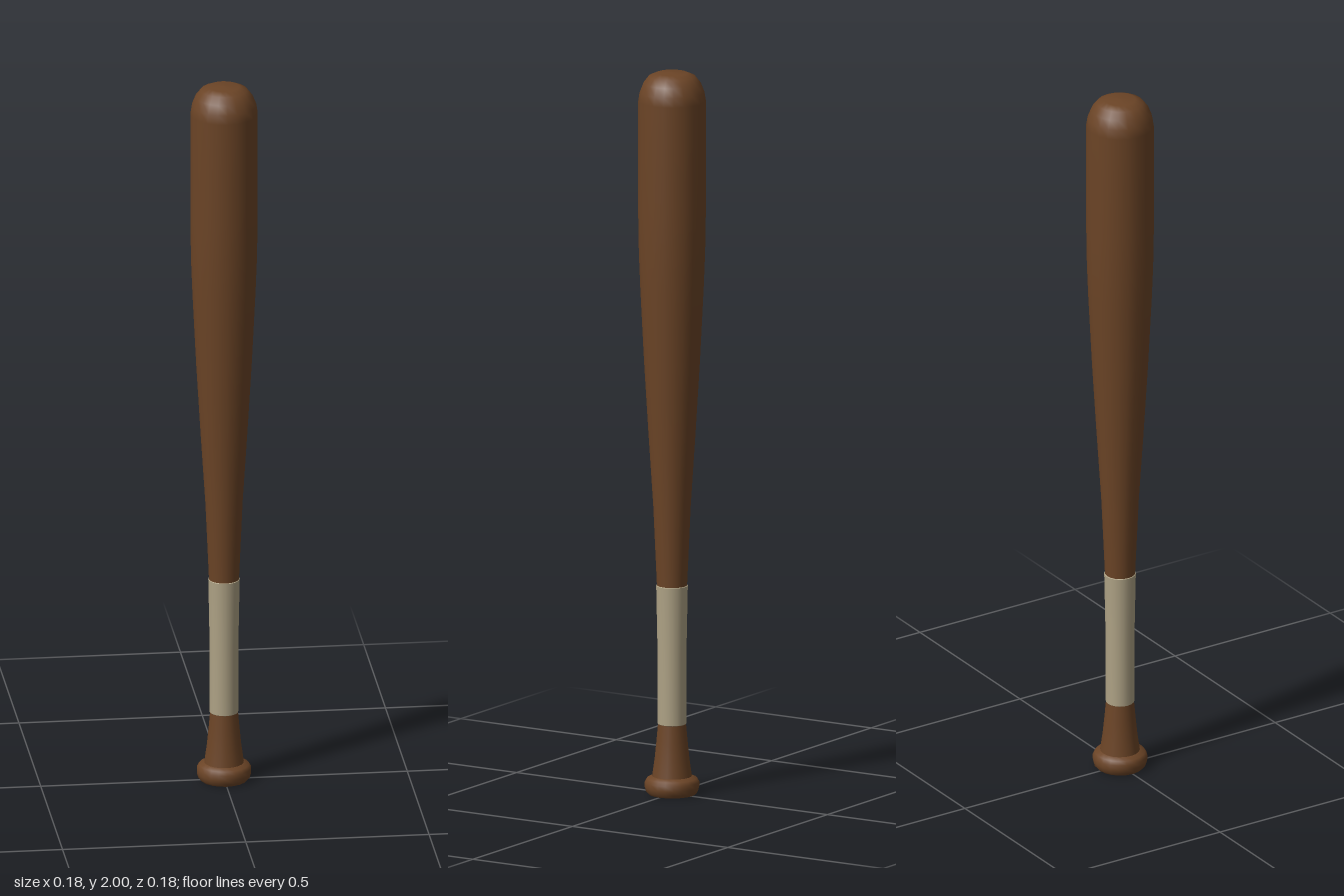
import * as THREE from 'three';

const SIDES = 20;

export function createModel() {
  const group = new THREE.Group();
  const wood = new THREE.MeshStandardMaterial({ color: 0x6b4426 });
  wood.name = 'brown wood';
  const tape = new THREE.MeshStandardMaterial({ color: 0xaea285 });
  tape.name = 'beige grip tape';

  // Turned part from [radius, height] pairs, bottom to top
  function turned(name, material, profile) {
    const points = profile.map(([r, y]) => new THREE.Vector2(r, y));
    const mesh = new THREE.Mesh(new THREE.LatheGeometry(points, SIDES), material);
    mesh.name = name;
    group.add(mesh);
  }

  // Flat underside of the knob
  turned('knobBase', wood, [[0, 0], [0.064, 0]]);

  // Rounded knob rim
  turned('knob', wood, [
    [0.064, 0], [0.071, 0.008], [0.074, 0.02], [0.074, 0.034], [0.068, 0.044], [0.054, 0.05],
  ]);

  // Flared handle above the knob
  turned('handle', wood, [[0.054, 0.05], [0.047, 0.1], [0.042, 0.15], [0.038, 0.195]]);

  // Wrapped grip, slightly proud of the wood
  turned('grip', tape, [[0.037, 0.193], [0.039, 0.195]]);
  turned('gripWrap', tape, [[0.039, 0.195], [0.039, 0.38], [0.043, 0.577]]);
  turned('gripTop', tape, [[0.043, 0.577], [0.04, 0.579]]);

  // Tapering barrel with a rounded end
  turned('barrel', wood, [
    [0.041, 0.577], [0.051, 0.8], [0.064, 1.0], [0.076, 1.2], [0.086, 1.4], [0.09, 1.5],
    [0.092, 1.62], [0.092, 1.92], [0.088, 1.945], [0.078, 1.97], [0.063, 1.989],
    [0.042, 1.998], [0, 2],
  ]);

  return group;
}
